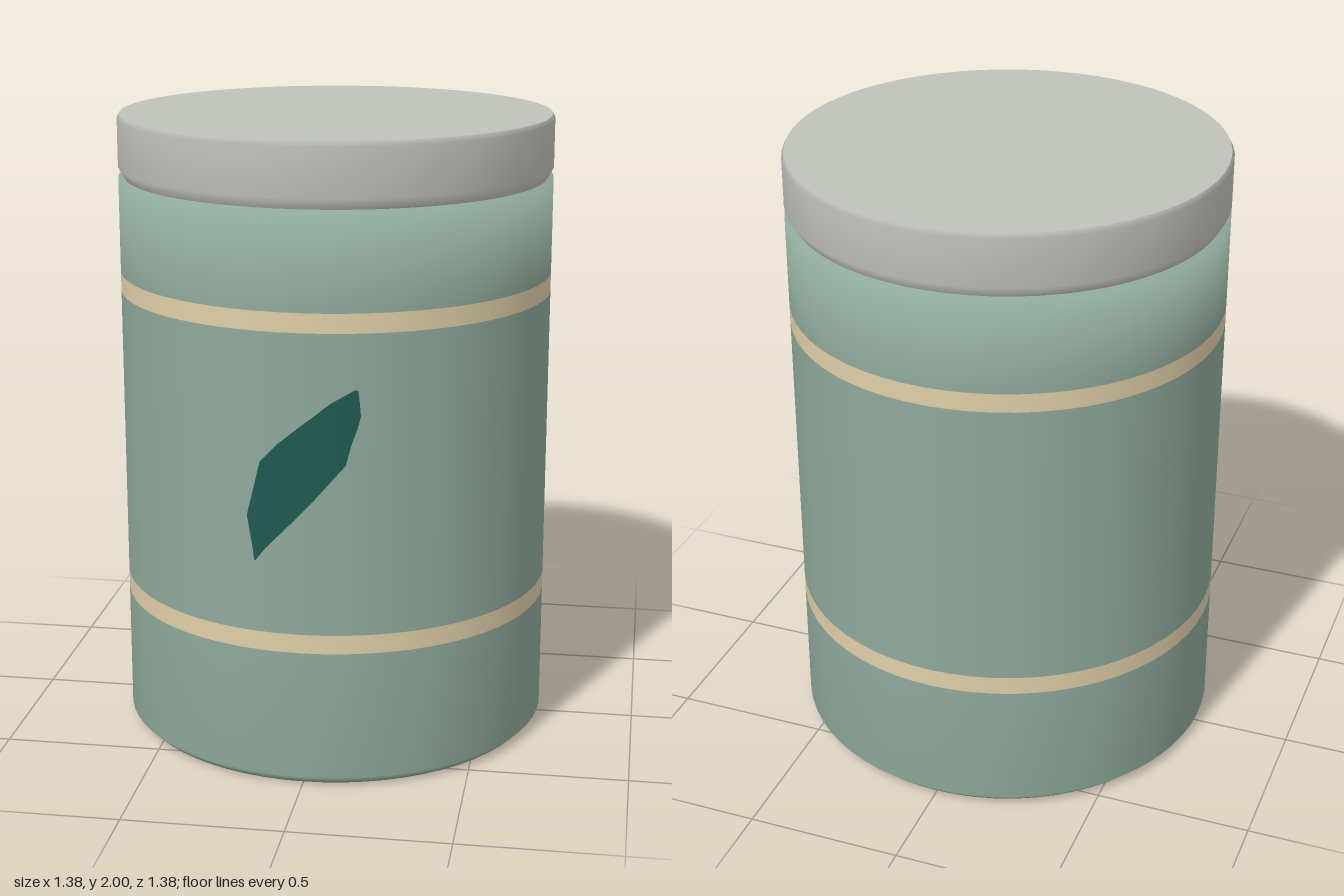
import * as THREE from 'three';

const R = 0.69;
const SEGMENTS = 64;

const material = (name, color) => {
  const m = new THREE.MeshStandardMaterial({ color });
  m.name = name;
  return m;
};

// Surface of revolution from [radius, height] pairs listed bottom to top
function turned(name, profile, mat) {
  const points = profile.map(([r, y]) => new THREE.Vector2(r, y));
  const mesh = new THREE.Mesh(new THREE.LatheGeometry(points, SEGMENTS), mat);
  mesh.name = name;
  return mesh;
}

// Leaf decal: rows of [height, left edge, right edge] wrapped onto the wall
function leafGeometry(rows, columns) {
  const radius = R + 0.003;
  const positions = [], normals = [], indices = [];
  rows.forEach(([y, x0, x1], j) => {
    for (let i = 0; i <= columns; i++) {
      const x = x0 + (x1 - x0) * i / columns;
      const z = Math.sqrt(radius * radius - x * x);
      positions.push(x, y, z);
      normals.push(x / radius, 0, z / radius);
      if (j < rows.length - 1 && i < columns) {
        const a = j * (columns + 1) + i, d = a + columns + 1;
        indices.push(a, a + 1, d, a + 1, d + 1, d);
      }
    }
  });
  const g = new THREE.BufferGeometry();
  g.setAttribute('position', new THREE.Float32BufferAttribute(positions, 3));
  g.setAttribute('normal', new THREE.Float32BufferAttribute(normals, 3));
  g.setIndex(indices);
  return g;
}

export function createModel() {
  const green = material('sage green', 0x8fa99b);
  const cream = material('cream', 0xe0cfa8);
  const grey = material('lid grey', 0xbfc1bb);
  const teal = material('dark teal', 0x1f5a51);
  const jar = new THREE.Group();
  jar.name = 'jar';

  // Body in three sections, divided by the painted bands
  jar.add(
    turned('bodyBase', [[0, 0], [0.66, 0], [R, 0.03], [R, 0.44]], green),
    turned('bodyMiddle', [[R, 0.5], [R, 1.44]], green),
    turned('bodyShoulder', [[R, 1.5], [R, 1.8], [0, 1.8]], green),
  );
  for (const [name, y] of [['lowerBand', 0.44], ['upperBand', 1.44]]) {
    jar.add(turned(name, [[R, y], [R, y + 0.06]], cream));
  }

  // Lid with a chamfered underside and a thin top bevel
  jar.add(
    turned('lidSide', [[0.67, 1.801], [R, 1.835], [R, 1.985], [0.682, 2]], grey),
    turned('lidTop', [[0.682, 2], [0, 2]], grey),
  );

  // Painted leaf on the front
  const leaf = new THREE.Mesh(leafGeometry([
    [0.73, -0.145, -0.14], [0.77, -0.15, -0.11], [0.87, -0.167, -0.015],
    [0.93, -0.152, 0.04], [1.04, -0.125, 0.135], [1.10, -0.07, 0.15],
    [1.15, -0.01, 0.168], [1.19, 0.04, 0.178], [1.23, 0.09, 0.175],
    [1.27, 0.16, 0.17],
  ], 8), teal);
  leaf.name = 'leaf';
  jar.add(leaf);

  return jar;
}
